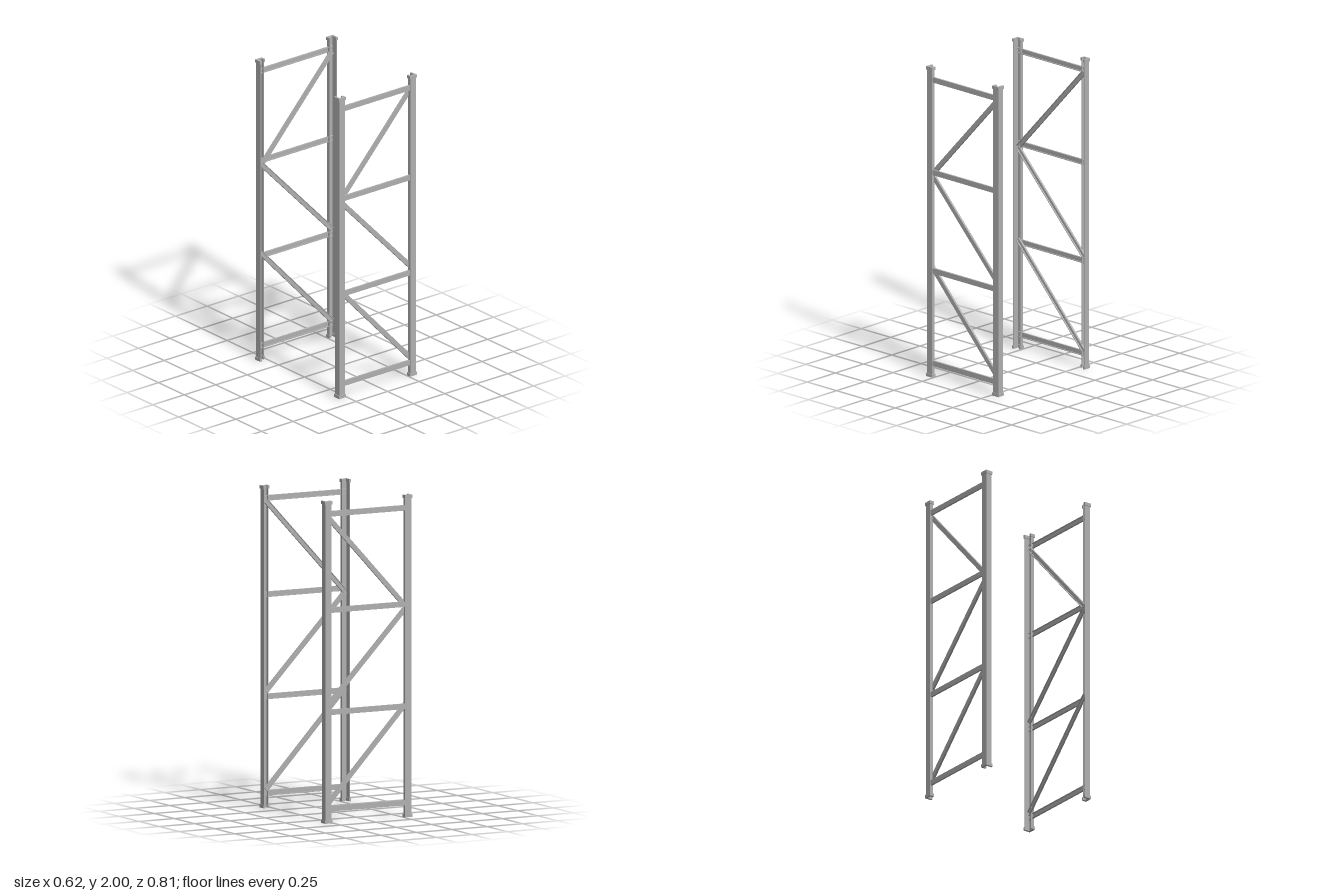
import * as THREE from 'three';

const steel = new THREE.MeshStandardMaterial({ color: 0xb0b0b0 });
steel.name = 'galvanised steel';

function shapeOf(points) {
  return new THREE.Shape(points.map(([x, y]) => new THREE.Vector2(x, y)));
}

// J-shaped upright section: outer flange, web on the outside face, short inner lip.
// g grows the sheet on every side, for the end collars.
function uprightPart(name, sx, sz, y0, y1, g) {
  const t = 0.004;
  const outer = 0.304 + g, inner = 0.26 - g, web = 0.403 + g;
  const points = [
    [outer, 0.363 - g], [outer, web], [inner, web], [inner, 0.381 - g],
    [0.26 + t + g, 0.381 - g], [0.26 + t + g, 0.403 - t - g],
    [0.304 - t - g, 0.403 - t - g], [0.304 - t - g, 0.363 - g],
  ].map(([x, z]) => [x * sx, -z * sz]);
  const geometry = new THREE.ExtrudeGeometry(shapeOf(points), { depth: y1 - y0, bevelEnabled: false });
  geometry.rotateX(-Math.PI / 2).translate(0, y0, 0);
  const mesh = new THREE.Mesh(geometry, steel);
  mesh.name = name;
  return mesh;
}

// C-channel between two points, its web at zWeb and its flanges reaching in to zLip
function channel(name, [xa, ya], [xb, yb], height, zWeb, zLip, sz) {
  const t = 0.004, h = height / 2;
  const zIn = zWeb - t;
  const points = [
    [zLip, h], [zWeb, h], [zWeb, -h], [zLip, -h],
    [zLip, -h + t], [zIn, -h + t], [zIn, h - t], [zLip, h - t],
  ].map(([z, y]) => [-z * sz, y]);
  const length = Math.hypot(xb - xa, yb - ya);
  const geometry = new THREE.ExtrudeGeometry(shapeOf(points), { depth: length, bevelEnabled: false });
  geometry.rotateY(Math.PI / 2);
  geometry.rotateZ(Math.atan2(yb - ya, xb - xa));
  geometry.translate(xa, ya, 0);
  const mesh = new THREE.Mesh(geometry, steel);
  mesh.name = name;
  return mesh;
}

export function createModel() {
  const model = new THREE.Group();
  model.name = 'rackFrames';

  for (const sz of [1, -1]) {
    const frame = new THREE.Group();
    frame.name = sz > 0 ? 'frontFrame' : 'backFrame';

    // uprights with a collar at each end
    for (const sx of [1, -1]) {
      const side = sx > 0 ? 'left' : 'right';
      frame.add(
        uprightPart(side + 'Upright', sx, sz, 0.002, 1.998, 0),
        uprightPart(side + 'FootCollar', sx, sz, 0, 0.02, 0.0045),
        uprightPart(side + 'TopCollar', sx, sz, 1.98, 2, 0.0045),
      );
    }

    // horizontal braces
    for (const y of [0.09, 0.688, 1.322, 1.92]) {
      frame.add(channel('horizontalBrace', [-0.295, y], [0.295, y], 0.034, 0.399, 0.387, sz));
    }

    // diagonal braces, set behind the horizontals
    for (const [yRight, yLeft] of [[0.707, 0.112], [1.302, 0.722], [1.302, 1.906]]) {
      frame.add(channel('diagonalBrace', [-0.28, yRight], [0.28, yLeft], 0.03, 0.3865, 0.373, sz));
    }
    model.add(frame);
  }
  return model;
}
